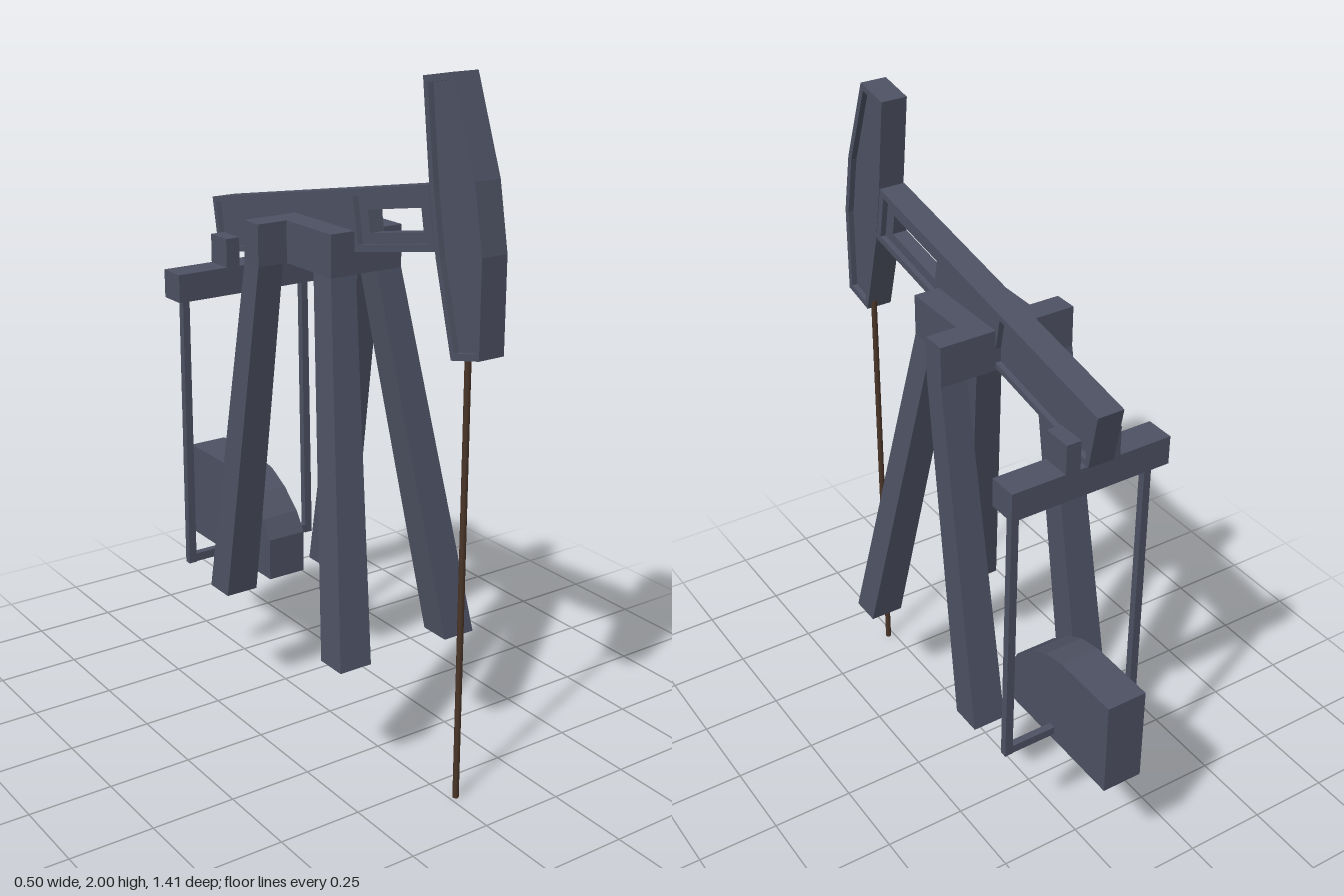
import * as THREE from 'three';

export function createModel() {
  const root = new THREE.Group();
  const steel = new THREE.MeshStandardMaterial({ color: 0x4d5162 });
  steel.name = 'slate steel';
  const rust = new THREE.MeshStandardMaterial({ color: 0x4a3528 });
  rust.name = 'rod brown';

  const add = (name, geometry, material = steel) => {
    const mesh = new THREE.Mesh(geometry, material);
    mesh.name = name;
    root.add(mesh);
    return mesh;
  };
  const box = (name, x0, x1, y0, y1, z0, z1) =>
    add(name, new THREE.BoxGeometry(x1 - x0, y1 - y0, z1 - z0)
      .translate((x0 + x1) / 2, (y0 + y1) / 2, (z0 + z1) / 2));

  // Side profile in (z, y), with optional holes, extruded symmetrically across x
  const vecs = pts => pts.map(p => new THREE.Vector2(p[0], p[1]));
  const slab = (pts, holes, width, tilt = 0, cz = 0, cy = 0) => {
    const shape = new THREE.Shape(vecs(pts));
    holes.forEach(h => shape.holes.push(new THREE.Path(vecs(h))));
    return new THREE.ExtrudeGeometry(shape, { depth: width, bevelEnabled: false })
      .translate(0, 0, -width / 2).rotateZ(tilt).translate(cz, cy, 0).rotateY(-Math.PI / 2);
  };
  const rect = (u0, u1, v0, v1) => [[u0, v0], [u1, v0], [u1, v1], [u0, v1]];

  // Shrinks a convex counter-clockwise outline by a fixed distance
  const inset = (pts, d) => pts.map((p, i) => {
    const n = pts.length, a = pts[(i + n - 1) % n], b = pts[(i + 1) % n];
    const normal = (s, e) => new THREE.Vector2(s[1] - e[1], e[0] - s[0]).normalize();
    const n1 = normal(a, p), n2 = normal(p, b);
    const k = d / (1 + n1.dot(n2));
    return [p[0] + (n1.x + n2.x) * k, p[1] + (n1.y + n2.y) * k];
  });

  // Straight post between two horizontal rectangles [x0, x1, z0, z1]
  const post = (name, bottom, yb, top, yt) => {
    const g = new THREE.BoxGeometry(1, 1, 1);
    const p = g.attributes.position;
    for (let i = 0; i < p.count; i++) {
      const up = p.getY(i) > 0;
      const r = up ? top : bottom;
      p.setXYZ(i, p.getX(i) > 0 ? r[1] : r[0], up ? yt : yb, p.getZ(i) > 0 ? r[3] : r[2]);
    }
    g.computeVertexNormals();
    return add(name, g);
  };
  const mirrored = ([a, b, c, d], s) => s > 0 ? [a, b, c, d] : [-b, -a, c, d];

  // Horse head: thin web inside a raised rim
  const head = [[0.575, 2], [0.67, 1.75], [0.705, 1.57], [0.705, 1.31],
    [0.595, 1.285], [0.525, 1.535], [0.495, 1.7], [0.46, 1.98]].reverse();
  const headInner = inset(head, 0.018);
  add('headRim', slab(head, [headInner], 0.08));
  add('headWeb', slab(headInner, [], 0.046));

  // Tilted walking beam with recessed panels and an open window
  const tilt = 0.191, cz = -0.025, cy = 1.53;
  const frontPanel = rect(0.207, 0.518, -0.065, 0.065);
  const rearPanel = rect(-0.523, -0.095, -0.068, 0.068);
  const windowHole = rect(0.245, 0.48, -0.036, 0.026);
  add('beamFrame', slab(rect(-0.54, 0.54, -0.084, 0.084), [frontPanel, rearPanel], 0.08, tilt, cz, cy));
  add('beamFrontWeb', slab(frontPanel, [windowHole], 0.046, tilt, cz, cy));
  add('beamRearWeb', slab(rearPanel, [], 0.046, tilt, cz, cy));

  // Saddle on top of the four legs
  box('saddleFront', -0.117, 0.117, 1.42, 1.54, -0.04, 0.175);
  box('saddleRear', -0.21, 0.21, 1.42, 1.54, -0.113, -0.04);

  // Equalizer bar under the tail
  box('equalizerBar', -0.248, 0.248, 1.24, 1.325, -0.508, -0.42);

  for (const s of [1, -1]) {
    const side = s > 0 ? 'left' : 'right';
    const m = r => mirrored(r, s);
    post(side + 'FrontLeg', m([0.13, 0.232, 0.295, 0.39]), 0.37, m([0.035, 0.117, 0.092, 0.175]), 1.42);
    post(side + 'RearLeg', m([0.13, 0.232, -0.305, -0.207]), 0.37, m([0.13, 0.21, -0.113, -0.04]), 1.42);
    const [b0, b1] = m([0.04, 0.085, 0, 0]);
    box(side + 'TailBracket', b0, b1, 1.325, 1.412, -0.508, -0.42);
    // Pitman rod and crank pin
    post(side + 'PitmanRod', m([0.205, 0.23, -0.462, -0.44]), 0.39, m([0.2, 0.222, -0.47, -0.447]), 1.24);
    const [c0, c1] = m([0.05, 0.206, 0, 0]);
    box(side + 'CrankPin', c0, c1, 0.392, 0.418, -0.462, -0.44);
  }

  // Counterweight with rounded front shoulder
  add('counterweight', slab([[-0.705, 0.37], [-0.235, 0.37], [-0.235, 0.5], [-0.272, 0.558],
    [-0.34, 0.617], [-0.41, 0.655], [-0.487, 0.672], [-0.705, 0.672]], [], 0.124));

  // Polished rod hanging from the head
  add('polishedRod', new THREE.CylinderGeometry(0.009, 0.009, 1.31, 8).translate(0.019, 0.655, 0.592), rust);

  return root;
}
